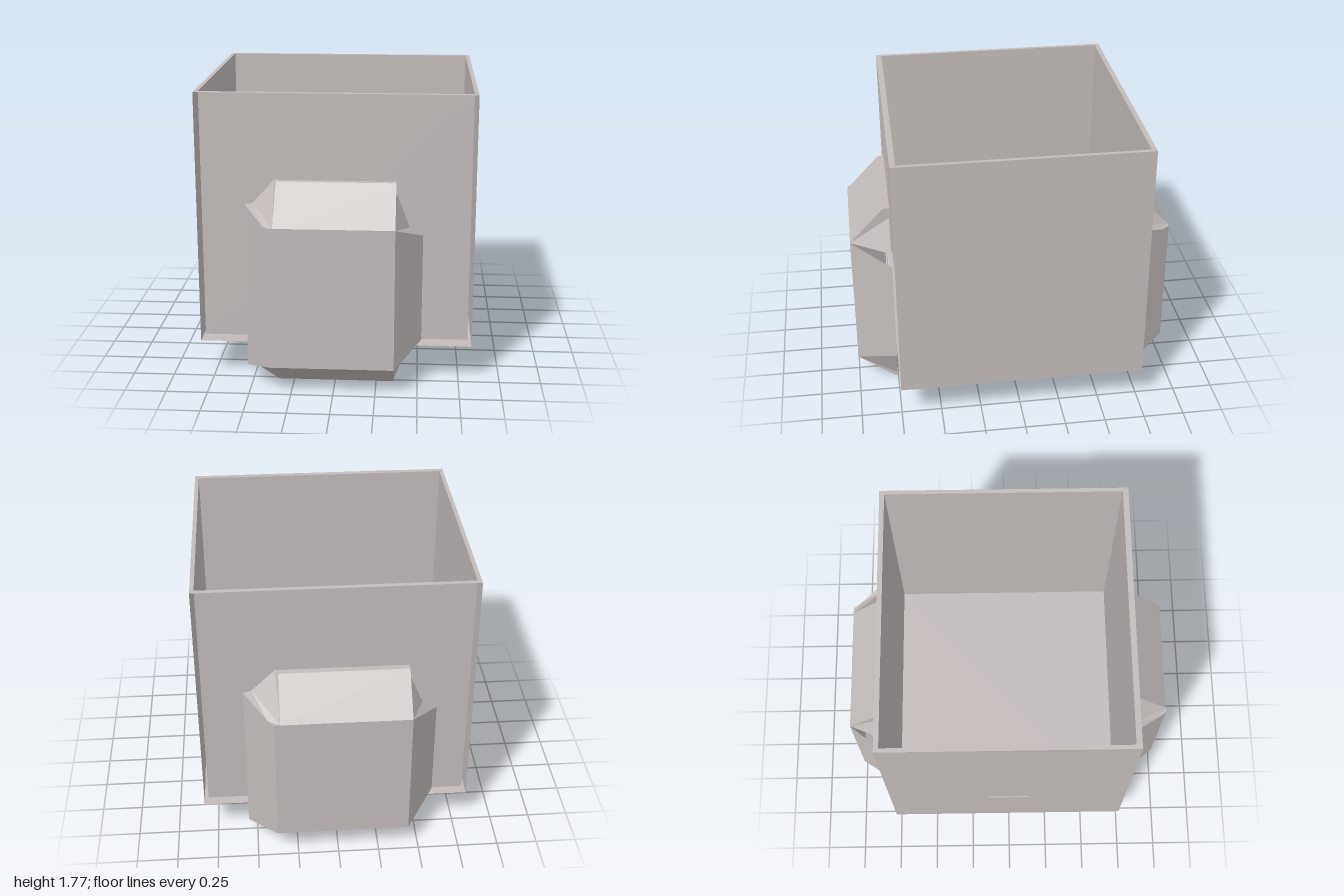
import * as THREE from 'three';

const grey = new THREE.MeshStandardMaterial({ color: 0xc2bbba, side: THREE.DoubleSide });
grey.name = 'warm grey';

// Flat polygons, each given as a list of corners, fanned into triangles
function sheet(name, ...polygons) {
  const pos = [];
  for (const p of polygons)
    for (let i = 1; i < p.length - 1; i++) pos.push(...p[0], ...p[i], ...p[i + 1]);
  const geo = new THREE.BufferGeometry();
  geo.setAttribute('position', new THREE.Float32BufferAttribute(pos, 3));
  geo.computeVertexNormals();
  const mesh = new THREE.Mesh(geo, grey);
  mesh.name = name;
  return mesh;
}

const wallX = (x, y0, y1, z0, z1) => [[x, y0, z1], [x, y0, z0], [x, y1, z0], [x, y1, z1]];
const wallZ = (z, y0, y1, x) => [[-x, y0, z], [x, y0, z], [x, y1, z], [-x, y1, z]];
const floorY = (y, x, z0, z1) => [[-x, y, z1], [-x, y, z0], [x, y, z0], [x, y, z1]];

// Faceted pouch, open at the back, with bevelled flaps on four sides
function pouch(name) {
  const g = new THREE.Group();
  g.name = name;
  g.add(sheet('pouchFront', [[-0.375, 0.17, 1], [0.36, 0.17, 1], [0.36, 1.03, 1], [-0.375, 1.03, 1]]));
  g.add(sheet('wideSideFlap', [
    [-0.375, 0.17, 1], [-0.375, 1.03, 1], [-0.41, 1.03, 0.95],
    [-0.535, 1.11, 0.77], [-0.535, 0.09, 0.77], [-0.41, 0.17, 0.95]]));
  g.add(sheet('narrowSideFlap', [[0.36, 0.17, 1], [0.52, 0.27, 0.755], [0.52, 0.93, 0.755], [0.36, 1.03, 1]]));

  // Top and bottom: fold height, flap end, side flap corners and gusset heights
  const ends = [
    ['top', 1.03, 1.255, 1.11, 0.98, 1.19, 0.79],
    ['bottom', 0.17, 0, 0.09, 0.22, 0.02, 0.77],
  ];
  for (const [end, fold, tip, corner, mid, foot, z] of ends) {
    g.add(sheet(end + 'Flap',
      [[-0.345, fold, 1], [0.36, fold, 1], [0.36, tip, z], [-0.345, tip, z]],
      [[-0.345, tip, z], [0.36, tip, z], [0.36, tip, 0.75], [-0.36, tip, 0.75]]));
    g.add(sheet(end + 'WideCorner',
      [[-0.345, fold, 1], [-0.345, tip, z], [-0.36, tip, 0.75],
        [-0.49, corner, 0.75], [-0.41, fold, 0.95], [-0.375, fold, 1]],
      [[-0.41, fold, 0.95], [-0.49, corner, 0.75], [-0.535, corner, 0.77]]));
    g.add(sheet(end + 'NarrowCorner',
      [[0.36, fold, 1], [0.36, foot, 0.755], [0.36, tip, 0.75], [0.36, tip, z]],
      [[0.36, fold, 1], [0.44, mid, 0.755], [0.36, foot, 0.755]]));
  }
  return g;
}

export function createModel() {
  const model = new THREE.Group();
  model.name = 'openBoxWithPouches';

  // Inner bin
  model.add(sheet('innerBin',
    wallX(-0.8, 0.26, 1.77, -0.735, 0.715), wallX(0.8, 0.26, 1.77, -0.735, 0.715),
    wallZ(0.715, 0.26, 1.77, 0.8), wallZ(-0.735, 0.26, 1.77, 0.8),
    floorY(0.26, 0.8, -0.735, 0.715)));

  // Outer sides and base, open at front and back
  model.add(sheet('outerShell',
    wallX(-0.825, 0.23, 1.77, -0.765, 0.75), wallX(0.825, 0.23, 1.77, -0.765, 0.75),
    floorY(0.23, 0.825, -0.765, 0.75)));

  // Flat rim around the opening
  const rect = (path, x, z0, z1) =>
    path.moveTo(-x, -z1).lineTo(x, -z1).lineTo(x, -z0).lineTo(-x, -z0).closePath();
  const rimShape = rect(new THREE.Shape(), 0.825, -0.765, 0.75);
  rimShape.holes.push(rect(new THREE.Path(), 0.8, -0.735, 0.715));
  const rim = new THREE.Mesh(new THREE.ShapeGeometry(rimShape).rotateX(-Math.PI / 2), grey);
  rim.name = 'rim';
  rim.position.y = 1.77;
  model.add(rim);

  // Thin plate on the right side
  const plate = new THREE.Mesh(new THREE.BoxGeometry(0.03, 0.44, 0.26), grey);
  plate.name = 'sidePlate';
  plate.position.set(-0.816, 0.48, 0);
  model.add(plate);

  // Front pouch and its slightly wider twin on the back
  model.add(pouch('frontPouch'));
  const back = pouch('backPouch');
  back.rotation.y = Math.PI;
  back.scale.set(1.1, 0.965, 1);
  back.position.set(-0.035, 0.01, 0);
  model.add(back);

  return model;
}
